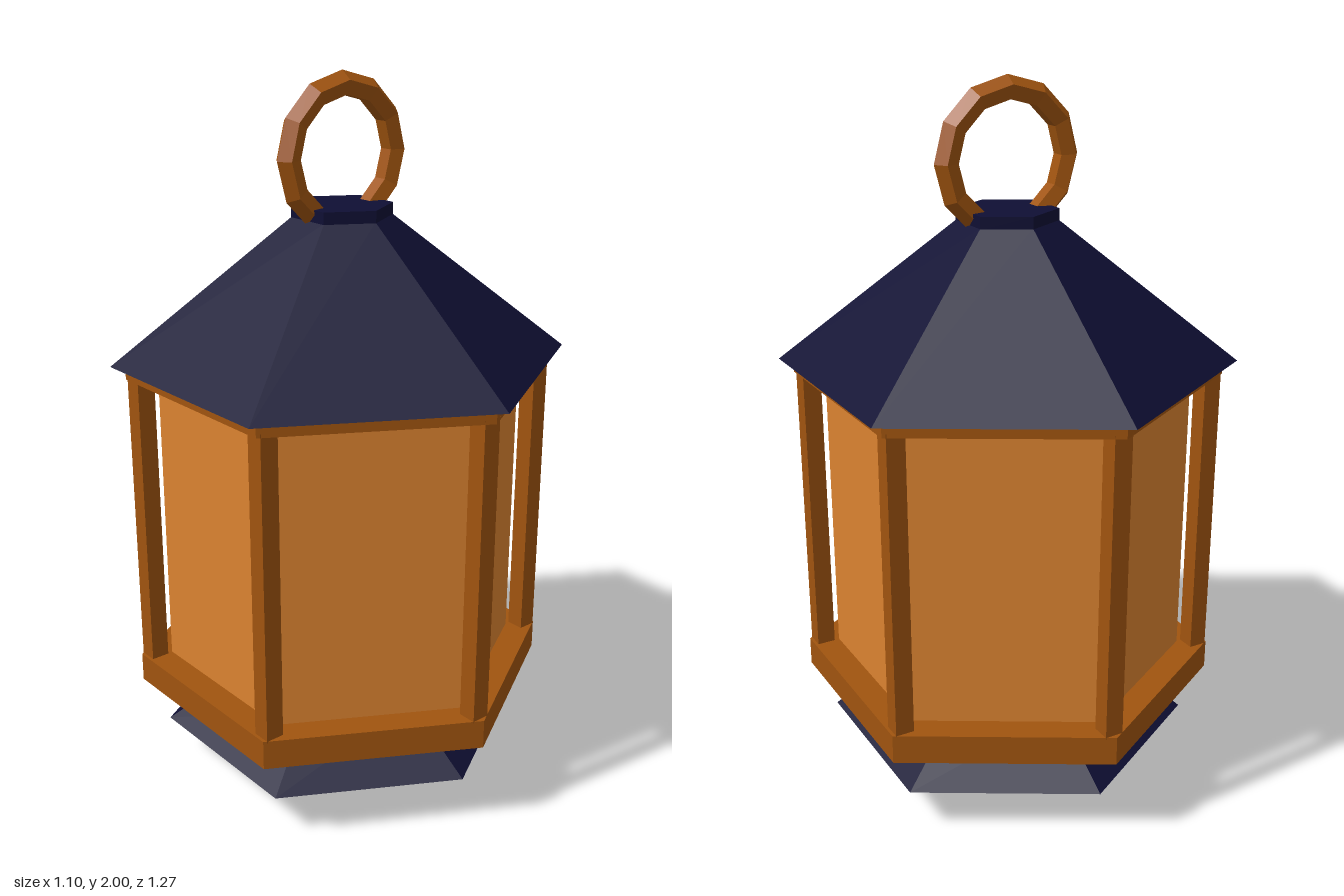
import * as THREE from 'three';

const material = (name, color) => {
  const m = new THREE.MeshStandardMaterial({ color });
  m.name = name;
  return m;
};

export function createModel() {
  const navy = material('navy roof metal', 0x0f0f34);
  const bronze = material('bronze frame', 0xa0540f);
  const amber = material('amber glass', 0xdb8330);
  const lantern = new THREE.Group();
  lantern.name = 'lantern';

  // Facet a geometry and add it as a named mesh
  const add = (name, geometry, mat, x = 0, y = 0, z = 0) => {
    const g = geometry.index ? geometry.toNonIndexed() : geometry;
    g.computeVertexNormals();
    const mesh = new THREE.Mesh(g, mat);
    mesh.name = name;
    mesh.position.set(x, y, z);
    lantern.add(mesh);
  };

  // Six-sided frustum between two heights, corners facing +z and -z
  const hex = (name, y0, y1, r0, r1, mat) =>
    add(name, new THREE.CylinderGeometry(r1, r0, y1 - y0, 6), mat, 0, (y0 + y1) / 2, 0);

  // Foot and body
  hex('footSkirt', 0.127, 0.27, 0.523, 0.30, navy);
  hex('baseFrame', 0.267, 0.35, 0.595, 0.595, bronze);
  hex('glassPanels', 0.35, 1.2, 0.508, 0.508, amber);

  // Corner posts
  for (let i = 0; i < 6; i++) {
    const a = (i * Math.PI) / 3;
    add('cornerPost', new THREE.BoxGeometry(0.052, 0.86, 0.052), bronze,
      0.555 * Math.sin(a), 0.775, 0.555 * Math.cos(a));
  }

  // Roof, with the rim of the upper frame just breaking through it
  hex('upperFrame', 1.195, 1.264, 0.595, 0.595, bronze);
  hex('roof', 1.233, 1.625, 0.635, 0.135, navy);
  hex('roofCap', 1.62, 1.655, 0.138, 0.138, navy);

  // Hanging ring and bottom finial
  add('hangingRing', new THREE.TorusGeometry(0.181, 0.034, 5, 12), bronze, 0, 1.785, 0);
  add('finial', new THREE.SphereGeometry(0.065, 8, 6), bronze, 0, 0.068, 0);

  return lantern;
}
